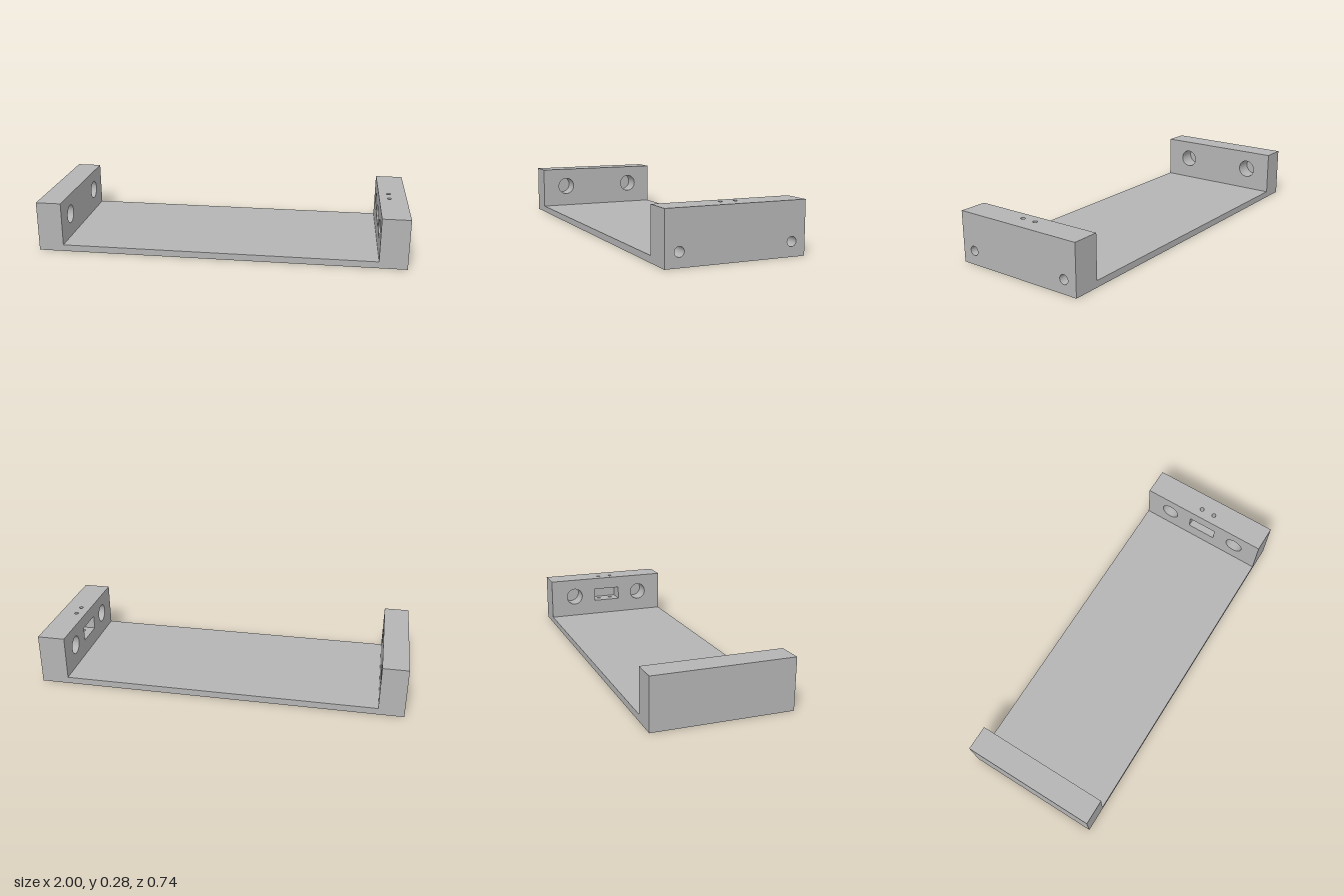
import * as THREE from 'three';
import { mergeGeometries } from 'three/addons/utils/BufferGeometryUtils.js';

// Main dimensions
const D = 0.372, TOP = 0.275, FLOOR = 0.036, LEFT = -0.863, RIGHT = 0.85;
const POCKET = { z: 0.083, y0: 0.125, y1: 0.203, depth: 0.1 };
const HALF = Math.PI / 2;

export function createModel() {
  const model = new THREE.Group();
  const grey = new THREE.MeshStandardMaterial({ color: 0xb4b4b4, side: THREE.DoubleSide });
  grey.name = 'plain grey';

  const add = (name, geometry) => {
    const mesh = new THREE.Mesh(geometry, grey);
    mesh.name = name;
    model.add(mesh);
  };
  const rect = (u0, v0, u1, v1) =>
    [[u0, v0], [u1, v0], [u1, v1], [u0, v1]].map(p => new THREE.Vector2(...p));
  const circle = (u, v, r) => new THREE.Path().absarc(u, v, r, 0, Math.PI * 2, true);

  // Flat face with cut-outs
  const face = (outline, holes = []) => {
    const shape = new THREE.Shape(outline);
    shape.holes.push(...holes);
    return new THREE.ShapeGeometry(shape, 24);
  };
  // Faces looking along x (u = z, v = y) and along y (u = x, v = z)
  const faceX = (name, x, dir, outline, holes) =>
    add(name, face(outline, holes).rotateY(dir * HALF).translate(x, 0, 0));
  const faceY = (name, y, dir, outline, holes) =>
    add(name, face(outline, holes).rotateX(-dir * HALF).translate(0, y, 0));

  // Inside of a drilled hole, running down -y from its mouth
  const bore = (r, depth, closed = true) => {
    const parts = [new THREE.CylinderGeometry(r, r, depth, 48, 1, true).translate(0, -depth / 2, 0)];
    if (closed) parts.push(new THREE.CircleGeometry(r, 48).rotateX(-HALF).translate(0, -depth, 0));
    return mergeGeometries(parts);
  };

  // U-shaped front and back faces
  const profile = [[-1, 0], [1, 0], [1, TOP], [RIGHT, TOP], [RIGHT, FLOOR], [LEFT, FLOOR], [LEFT, TOP], [-1, TOP]]
    .map(p => new THREE.Vector2(...p));
  add('frontFace', face(profile).translate(0, 0, D));
  add('backFace', face(profile.map(p => new THREE.Vector2(-p.x, p.y))).rotateY(Math.PI).translate(0, 0, -D));

  // Base tray
  faceY('underside', 0, -1, rect(-1, -D, 1, D));
  faceY('trayFloor', FLOOR, 1, rect(LEFT, -D, RIGHT, D));

  // Left end wall
  const sockets = () => [-0.22, 0.22].map(z => circle(z, 0.163, 0.051));
  faceX('leftWallOuter', -1, -1, rect(-D, 0, D, TOP));
  faceX('leftWallInner', LEFT, 1, rect(-D, FLOOR, D, TOP), sockets());
  faceY('leftWallTop', TOP, 1, rect(-1, -D, LEFT, D));

  // Right end wall with a pocket, pin holes and outer screw holes
  const pins = () => [-0.04, 0.04].map(z => circle(0.905, z, 0.012));
  const { z: pz, y0, y1, depth } = POCKET;
  const pocketCut = new THREE.Path(rect(-pz, y0, pz, y1));
  faceX('rightWallInner', RIGHT, -1, rect(-D, FLOOR, D, TOP), [...sockets(), pocketCut]);
  faceX('rightWallOuter', 1, 1, rect(-D, 0, D, TOP), [-0.298, 0.298].map(z => circle(z, 0.075, 0.025)));
  faceY('rightWallTop', TOP, 1, rect(RIGHT, -D, 1, D), pins());

  // Pocket lining
  faceX('pocketBack', RIGHT + depth, -1, rect(-pz, y0, pz, y1));
  faceY('pocketFloor', y0, 1, rect(RIGHT, -pz, RIGHT + depth, pz), pins());
  faceY('pocketCeiling', y1, -1, rect(RIGHT, -pz, RIGHT + depth, pz), pins());
  for (const s of [-1, 1]) {
    const side = face(rect(RIGHT, y0, RIGHT + depth, y1));
    if (s > 0) side.rotateY(Math.PI).translate(2 * RIGHT + depth, 0, 0);
    add('pocketSide', side.translate(0, 0, s * pz));
  }

  // Hole linings, mirrored front to back
  for (const s of [-1, 1]) {
    add('leftSocket', bore(0.051, 0.1).rotateZ(-HALF).translate(LEFT, 0.163, s * 0.22));
    add('rightSocket', bore(0.051, 0.1).rotateZ(HALF).translate(RIGHT, 0.163, s * 0.22));
    add('screwHole', bore(0.025, 0.1).rotateZ(-HALF).translate(1, 0.075, s * 0.298));
    add('upperPinHole', bore(0.012, TOP - y1, false).translate(0.905, TOP, s * 0.04));
    add('lowerPinHole', bore(0.012, 0.07).translate(0.905, y0, s * 0.04));
  }
  return model;
}
